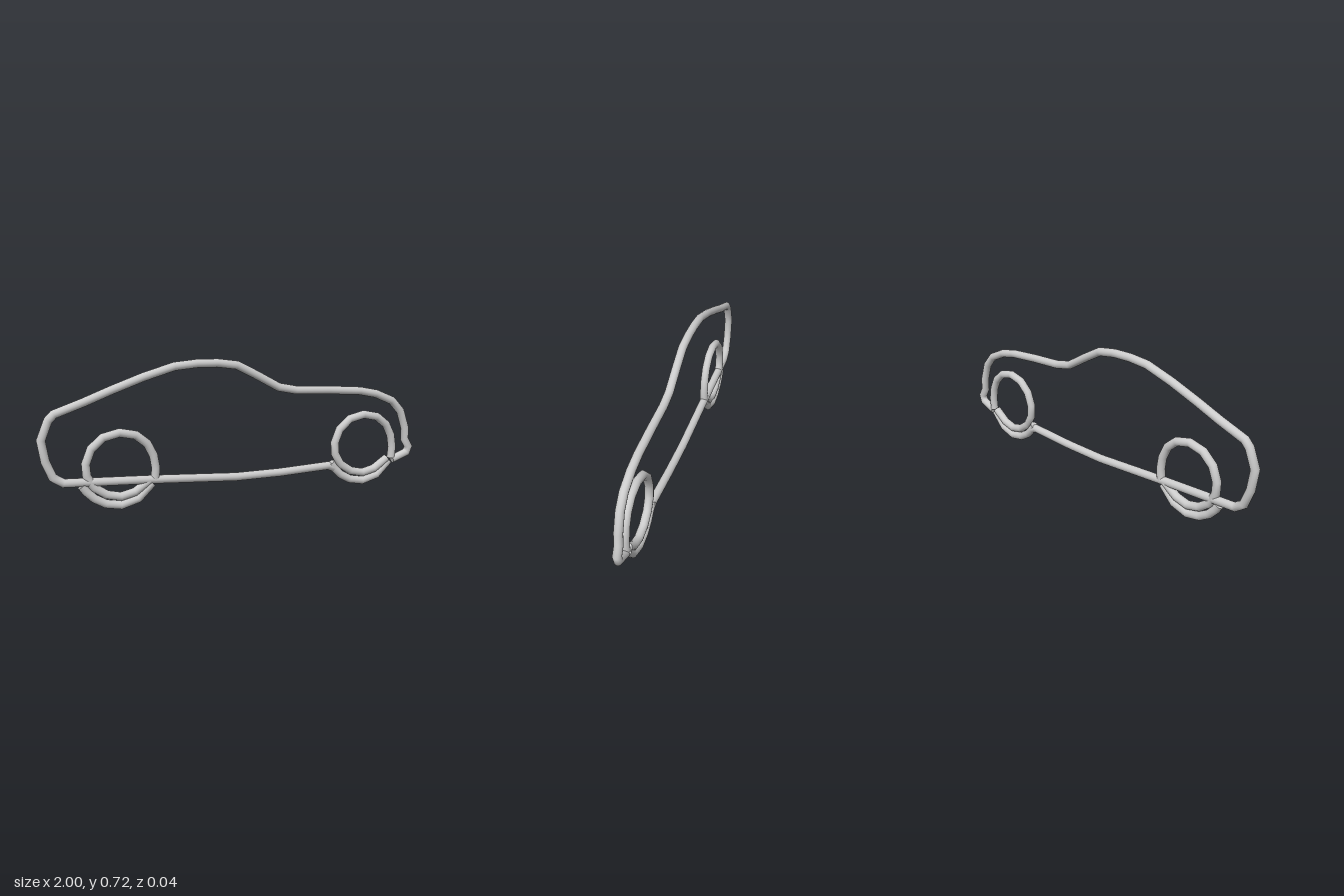
import * as THREE from 'three';

const RADIUS = 0.021;
const SIDES = 16;

// Round wire swept along a flat polyline with mitred joints and closed ends
function wireGeometry(points) {
  const path = points.map(([x, y]) => new THREE.Vector2(x, y));
  const last = path.length - 1;
  const normals = path.slice(1).map((p, i) => {
    const t = p.clone().sub(path[i]).normalize();
    return new THREE.Vector2(-t.y, t.x);
  });
  const pos = [], index = [];
  const addRing = (i) => {
    const a = normals[Math.max(i - 1, 0)], b = normals[Math.min(i, last - 1)];
    const miter = a.clone().add(b).normalize();
    miter.multiplyScalar(RADIUS / Math.max(miter.dot(a), 0.7));
    for (let j = 0; j < SIDES; j++) {
      const ang = (j / SIDES) * Math.PI * 2;
      pos.push(path[i].x + miter.x * Math.cos(ang), path[i].y + miter.y * Math.cos(ang), RADIUS * Math.sin(ang));
    }
  };
  for (let i = 0; i <= last; i++) {
    addRing(i);
    if (i === last) break;
    for (let j = 0; j < SIDES; j++) {
      const k = (j + 1) % SIDES;
      const a = i * SIDES + j, b = i * SIDES + k;
      index.push(a, b, a + SIDES, b, b + SIDES, a + SIDES);
    }
  }
  // flat caps with their own vertices
  for (const i of [0, last]) {
    const base = pos.length / 3;
    addRing(i);
    pos.push(path[i].x, path[i].y, 0);
    for (let j = 0; j < SIDES; j++) {
      const a = base + j, b = base + (j + 1) % SIDES;
      if (i === 0) index.push(base + SIDES, b, a);
      else index.push(base + SIDES, a, b);
    }
  }
  const geo = new THREE.BufferGeometry();
  geo.setAttribute('position', new THREE.Float32BufferAttribute(pos, 3));
  geo.setIndex(index);
  geo.computeVertexNormals();
  return geo;
}

// Car silhouette: nose, bonnet, roof, tail, then the underside back to the front wheel
const BODY = [
  [0.875, 0.122], [0.89, 0.126], [0.962, 0.152], [0.974, 0.184], [0.949, 0.227], [0.949, 0.286],
  [0.917, 0.382], [0.864, 0.441], [0.767, 0.484], [0.671, 0.505], [0.489, 0.521], [0.307, 0.532],
  [0.211, 0.553], [0.088, 0.623], [-0.013, 0.676], [-0.115, 0.692], [-0.222, 0.695], [-0.334, 0.687],
  [-0.489, 0.644], [-0.644, 0.591], [-0.773, 0.543], [-0.917, 0.495], [-0.944, 0.468], [-0.981, 0.377],
  [-0.965, 0.275], [-0.933, 0.195], [-0.885, 0.163], [-0.447, 0.139], [-0.019, 0.11], [0.222, 0.11],
  [0.495, 0.12], [0.53, 0.105],
];

// Wheel loop and the doubled-back strand beneath it, relative to the wheel centre
const WHEEL_LOOP = [
  [0.17, -0.08], [0.176, -0.02], [0.165, 0.045], [0.135, 0.105], [0.08, 0.15], [0, 0.168],
  [-0.08, 0.15], [-0.138, 0.1], [-0.166, 0.03], [-0.163, -0.03], [-0.13, -0.088], [-0.07, -0.13],
  [0, -0.146], [0.07, -0.13], [0.145, -0.08],
];
const WHEEL_RETURN = [
  [0.157, -0.094], [0.085, -0.165], [0, -0.189], [-0.075, -0.175], [-0.13, -0.143],
  [-0.168, -0.105], [-0.188, -0.075],
];

export function createModel() {
  const model = new THREE.Group();
  model.name = 'wireCar';
  const material = new THREE.MeshStandardMaterial({ color: 0xcccccc });
  const addWire = (name, points, parent) => {
    const mesh = new THREE.Mesh(wireGeometry(points), material);
    mesh.name = name;
    parent.add(mesh);
  };

  addWire('bodyOutline', BODY, model);

  for (const [name, x, y] of [['frontWheel', 0.698, 0.21], ['rearWheel', -0.611, 0.216]]) {
    const wheel = new THREE.Group();
    wheel.name = name;
    wheel.position.set(x, y, 0);
    addWire('wheelLoop', WHEEL_LOOP, wheel);
    addWire('returnStrand', WHEEL_RETURN, wheel);
    model.add(wheel);
  }
  return model;
}
